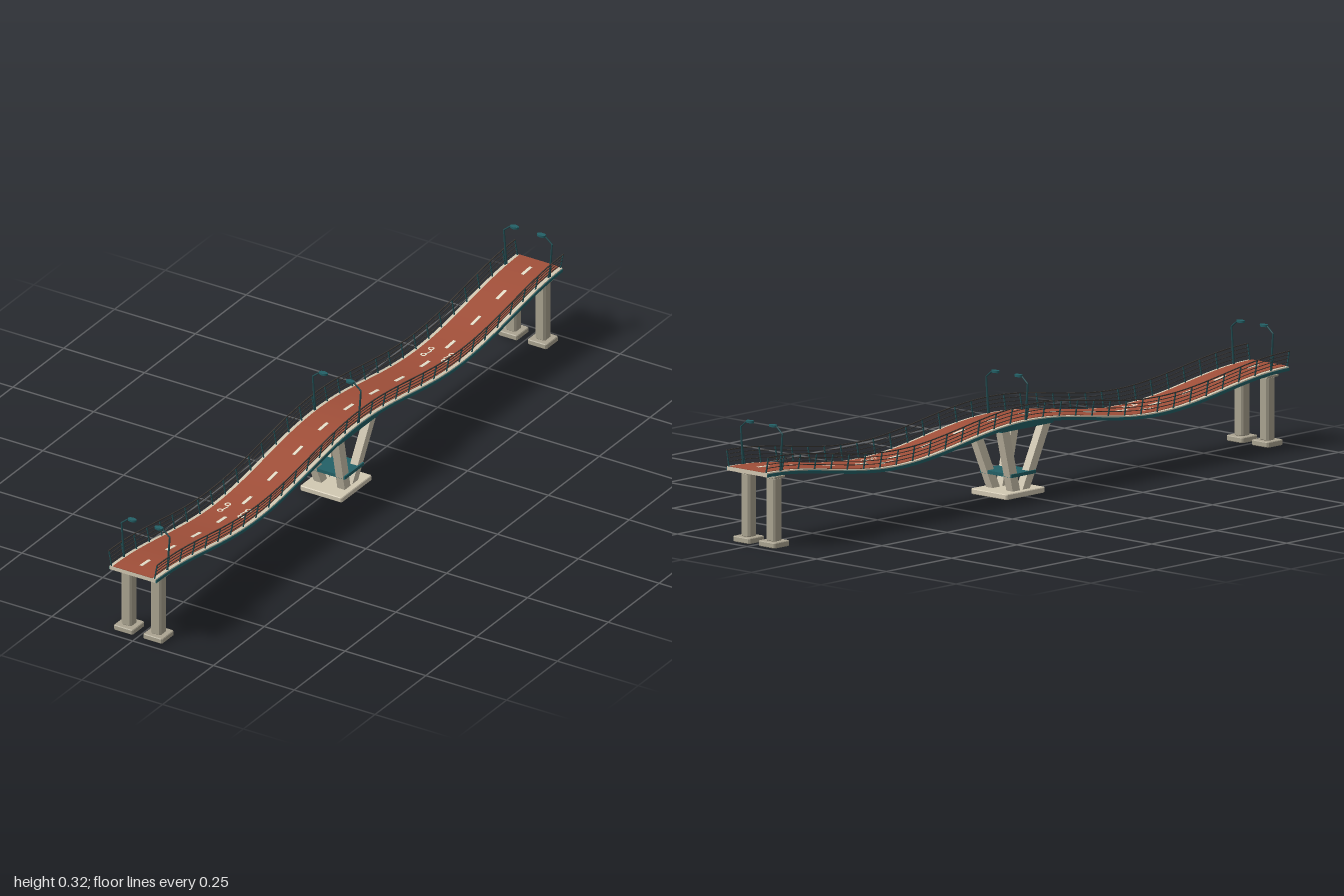
import * as THREE from 'three';
import { mergeGeometries } from 'three/addons/utils/BufferGeometryUtils.js';

const mat = (name, color) => Object.assign(new THREE.MeshStandardMaterial({ color }), { name });

// Height of the deck's top surface along its length
const deckTop = (z) => 0.18 + 0.025 * Math.cos(2 * Math.PI * z);

// Raises a flat-laid geometry onto the wave of the deck
function bend(geo) {
  const p = geo.attributes.position;
  for (let i = 0; i < p.count; i++) p.setY(i, p.getY(i) + deckTop(p.getZ(i)));
  geo.computeVertexNormals();
  return geo;
}

// Bar running along the deck; y is measured from the deck top
function bar(x, y, w, h, length = 2, z = 0) {
  const segs = Math.max(2, Math.round(length * 48));
  return bend(new THREE.BoxGeometry(w, h, length, 1, 1, segs).translate(x, y, z));
}

// Upright block with chamfered corners, standing on y
function block(w, h, d, c, y) {
  const a = w / 2 - c, b = d / 2 - c, e = c * 0.5;
  const s = new THREE.Shape();
  const pts = [[a, -b - c], [a + c, -b], [a + c, b], [a, b + c], [-a, b + c], [-a - c, b], [-a - c, -b], [-a, -b - c]];
  s.setFromPoints(pts.map(([x, z]) => new THREE.Vector2(x, z)));
  return new THREE.ExtrudeGeometry(s, {
    depth: h - 2 * e, bevelEnabled: true, bevelThickness: e, bevelSize: e, bevelOffset: -e, bevelSegments: 1,
  }).rotateX(-Math.PI / 2).translate(0, y + e, 0);
}

// Box with level ends whose centre line leans from a to b
function leaning(a, b, w, d) {
  const geo = new THREE.BoxGeometry(w, 1, d);
  const p = geo.attributes.position;
  for (let i = 0; i < p.count; i++) {
    const t = p.getY(i) + 0.5;
    p.setXYZ(i, p.getX(i) + a[0] + (b[0] - a[0]) * t, a[1] + (b[1] - a[1]) * t, p.getZ(i) + a[2] + (b[2] - a[2]) * t);
  }
  geo.computeVertexNormals();
  return geo;
}

// Round rod between two points
function rod(a, b, r0, r1 = r0) {
  const from = new THREE.Vector3(...a), to = new THREE.Vector3(...b);
  const dir = to.clone().sub(from);
  const geo = new THREE.CylinderGeometry(r1, r0, dir.length(), 8);
  geo.applyQuaternion(new THREE.Quaternion().setFromUnitVectors(new THREE.Vector3(0, 1, 0), dir.normalize()));
  const mid = from.add(to).multiplyScalar(0.5);
  return geo.translate(mid.x, mid.y, mid.z);
}

// Flat painted stroke between two (x, z) points
function stroke([x0, z0], [x1, z1]) {
  const len = Math.hypot(x1 - x0, z1 - z0);
  return new THREE.BoxGeometry(0.0035, 0.001, len)
    .rotateY(Math.atan2(x1 - x0, z1 - z0)).translate((x0 + x1) / 2, 0, (z0 + z1) / 2);
}

export function createModel() {
  const root = new THREE.Group();
  root.name = 'footbridge';
  const paleConcrete = mat('pale concrete', 0xd2c9b3);
  const concrete = mat('grey concrete', 0xaca592);
  const paving = mat('red paving', 0xa2503a);
  const paint = mat('lane paint', 0xf2ead4);
  const teal = mat('teal steel', 0x236167);
  const darkTeal = mat('dark teal steel', 0x224e53);
  const railSteel = mat('rail steel', 0x3b3733);

  const add = (name, geo, material, parent = root) => {
    const m = new THREE.Mesh(geo, material);
    m.name = name;
    parent.add(m);
    return m;
  };

  // Waving deck and its paving
  add('deckSlab', bar(0, -0.0055, 0.143, 0.011), paleConcrete);
  add('paving', bar(0, 0.0005, 0.122, 0.002), paving);

  // Centre line dashes
  const dashes = [];
  for (let i = 0; i < 16; i++) dashes.push(bar(0, 0.002, 0.009, 0.001, 0.042, -0.9375 + i * 0.125));
  add('centreDashes', mergeGeometries(dashes), paint);

  // Painted cycle symbols in both lanes
  for (const z of [-0.5, 0.5]) for (const side of [-1, 1]) {
    const parts = [];
    for (const dz of [-0.019, 0.019]) {
      parts.push(new THREE.RingGeometry(0.0045, 0.0088, 20).rotateX(-Math.PI / 2).translate(0, 0.0005, dz));
    }
    const frame = [[0.003, -0.015], [0.008, -0.007], [0.005, 0.004], [0.003, 0.015]];
    for (let i = 1; i < frame.length; i++) parts.push(stroke(frame[i - 1], frame[i]));
    const geo = mergeGeometries(parts);
    if (side > 0) geo.rotateY(Math.PI);
    geo.translate(side * 0.032, 0.0022, z);
    add('cycleSymbol', bend(geo), paint);
  }

  // Outward-leaning railings on both edges
  for (const side of [-1, 1]) {
    const railing = new THREE.Group();
    railing.name = side > 0 ? 'leftRailing' : 'rightRailing';
    root.add(railing);
    add('edgeBeam', bar(side * 0.0725, -0.007, 0.002, 0.008), teal, railing);
    const railX = (h) => side * (0.0665 + 0.0085 * h / 0.043);
    const rails = [0.012, 0.022, 0.032].map((h) => bar(railX(h), h, 0.0016, 0.0016));
    add('lowerRails', mergeGeometries(rails), railSteel, railing);
    add('handrail', bar(railX(0.042), 0.042, 0.003, 0.0025), railSteel, railing);
    const posts = [];
    for (let i = 0; i <= 32; i++) {
      const z = THREE.MathUtils.clamp(-1 + i / 16, -0.998, 0.998), y = deckTop(z);
      posts.push(leaning([railX(0), y - 0.001, z], [railX(0.041), y + 0.042, z], 0.003, 0.003));
    }
    add('railingPosts', mergeGeometries(posts), darkTeal, railing);
  }

  // Street lamps in three pairs
  for (const z of [-0.944, -0.004, 0.936]) for (const side of [-1, 1]) {
    const lamp = new THREE.Group();
    lamp.name = 'lamp';
    lamp.position.z = z;
    root.add(lamp);
    const knee = [side * 0.0745, 0.302, 0], elbow = [side * 0.054, 0.319, 0];
    add('lampPole', mergeGeometries([
      rod([side * 0.067, deckTop(z) - 0.003, 0], knee, 0.0032, 0.0024),
      rod(knee, elbow, 0.0022),
      rod(elbow, [side * 0.042, 0.32, 0], 0.002),
    ]), darkTeal, lamp);
    add('lampHead', new THREE.CylinderGeometry(0.013, 0.0125, 0.006, 16).scale(1, 1, 0.6)
      .translate(side * 0.0415, 0.32, 0), teal, lamp);
  }

  // End piers: footing, chamfered column, cap and bearing
  for (const z of [-0.945, 0.945]) for (const x of [-0.0455, 0.0455]) {
    const pier = new THREE.Group();
    pier.name = 'endPier';
    pier.position.set(x, 0, z);
    root.add(pier);
    add('footing', block(0.06, 0.015, 0.06, 0.004, 0), concrete, pier);
    add('column', block(0.032, 0.17, 0.032, 0.005, 0.014), concrete, pier);
    add('columnCap', block(0.043, 0.006, 0.043, 0.002, 0.1835), concrete, pier);
    add('bearing', new THREE.BoxGeometry(0.034, 0.004, 0.034).translate(0, 0.1913, 0), teal, pier);
  }

  // Central V-shaped support
  const support = new THREE.Group();
  support.name = 'centralSupport';
  root.add(support);
  add('basePad', block(0.13, 0.015, 0.15, 0.004, 0), paleConcrete, support);
  for (const x of [-1, 1]) {
    for (const z of [-1, 1]) {
      add('slantedLeg', leaning([x * 0.036, 0.013, z * 0.018], [x * 0.055, 0.187, z * 0.08], 0.023, 0.028), paleConcrete, support);
    }
    add('topBeam', new THREE.BoxGeometry(0.03, 0.011, 0.2).translate(x * 0.055, 0.1895, 0), teal, support);
  }
  add('tiePlate', new THREE.BoxGeometry(0.114, 0.009, 0.094).translate(0, 0.059, 0), teal, support);

  return root;
}
